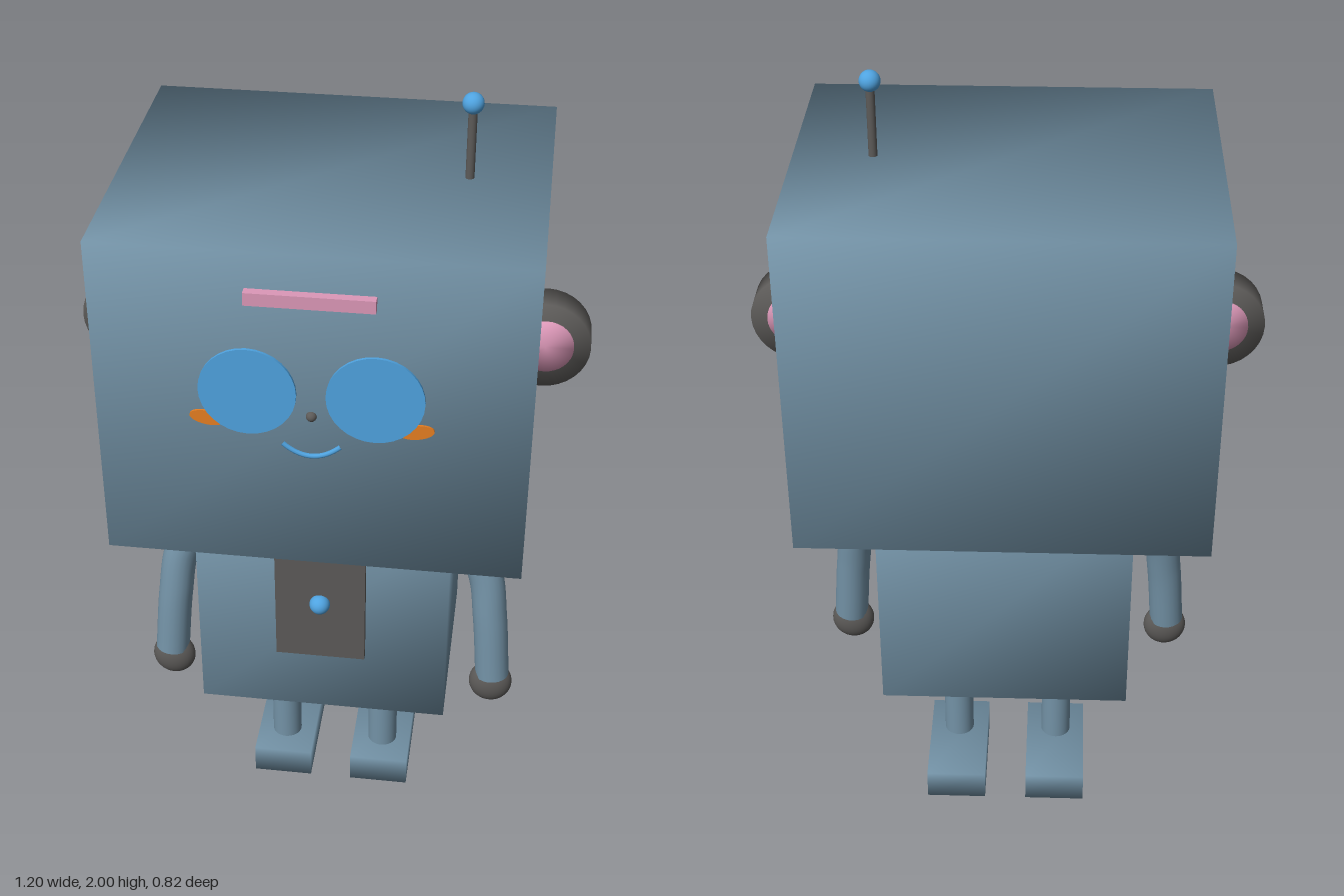
import * as THREE from 'three';
import { mergeVertices } from 'three/addons/utils/BufferGeometryUtils.js';

const mat = (color) => new THREE.MeshStandardMaterial({ color });

// Weld all corners so the shading flows across the edges
function soft(geometry) {
  geometry.deleteAttribute('normal');
  geometry.deleteAttribute('uv');
  const welded = mergeVertices(geometry, 1e-4);
  welded.computeVertexNormals();
  return welded;
}

export function createModel() {
  const robot = new THREE.Group();
  robot.name = 'robot';
  const steel = mat(0x7392a6), grey = mat(0x5c5a58), pink = mat(0xdc98b8);
  const blue = mat(0x4fa3e0), orange = mat(0xe67e22), dark = mat(0x222222);
  const midZ = -0.01;

  function add(name, geometry, material, x, y, z) {
    const mesh = new THREE.Mesh(geometry, material);
    mesh.name = name;
    mesh.position.set(x, y, z);
    robot.add(mesh);
    return mesh;
  }
  const box = (w, h, d) => soft(new THREE.BoxGeometry(w, h, d));
  const rod = (r, h) => new THREE.CylinderGeometry(r, r, h, 32);
  const ball = (r) => new THREE.SphereGeometry(r, 32, 20);
  const disc = (r, depth) => rod(r, depth).rotateX(Math.PI / 2);

  // Head and body
  add('head', box(0.96, 0.8, 0.8), steel, 0, 1.4, midZ);
  add('body', box(0.62, 0.6, 0.495), steel, 0, 0.71, -0.008);

  // Face
  add('faceScreen', new THREE.BoxGeometry(0.77, 0.6, 0.02), dark, 0, 1.4, 0.379);
  add('browBar', new THREE.BoxGeometry(0.28, 0.03, 0.022), pink, 0, 1.7, 0.4);
  add('nose', ball(0.012), grey, 0, 1.405, 0.39);
  const smile = new THREE.QuadraticBezierCurve3(
    new THREE.Vector3(-0.065, 1.33, 0.39),
    new THREE.Vector3(0, 1.27, 0.39),
    new THREE.Vector3(0.065, 1.33, 0.39));
  add('mouth', new THREE.TubeGeometry(smile, 24, 0.006, 8), blue, 0, 0, 0);

  // Chest panel and button
  add('chestPanel', new THREE.BoxGeometry(0.22, 0.335, 0.02), grey, 0, 0.777, 0.266);
  add('chestButton', ball(0.025), blue, 0, 0.78, 0.28);

  // Antenna
  add('antenna', rod(0.01, 0.2), grey, 0.3, 1.88, midZ);
  add('antennaTip', ball(0.024), blue, 0.3, 1.976, midZ);

  for (const s of [1, -1]) {
    const side = s > 0 ? 'left' : 'right';

    // Eye and cheek
    add(side + 'Eye', disc(0.108, 0.012), blue, s * 0.14, 1.46, 0.391);
    const cheek = add(side + 'Cheek', disc(0.04, 0.008), orange, s * 0.23, 1.385, 0.391);
    cheek.scale.y = 0.45;
    cheek.rotation.z = s * 0.15;

    // Ear disc with a smaller inner disc
    add(side + 'Ear', soft(disc(0.11, 0.075)), grey, s * 0.49, 1.4, -0.013);
    add(side + 'InnerEar', soft(disc(0.066, 0.087)), pink, s * 0.495, 1.4, -0.013);

    // Arm
    const path = new THREE.CatmullRomCurve3([
      [0.27, 0.855, 0.02], [0.345, 0.81, 0.03], [0.39, 0.73, 0.043],
      [0.41, 0.6, 0.06], [0.425, 0.42, 0.073],
    ].map(([x, y, z]) => new THREE.Vector3(s * x, y, z)));
    add(side + 'Arm', new THREE.TubeGeometry(path, 40, 0.044, 20), steel, 0, 0, 0);
    add(side + 'Shoulder', ball(0.044), steel, s * 0.27, 0.855, 0.02);
    add(side + 'Hand', ball(1), grey, s * 0.422, 0.394, 0.074).scale.set(0.056, 0.06, 0.038);

    // Leg
    add(side + 'Thigh', rod(0.045, 0.16), steel, s * 0.133, 0.335, -0.006);
    add(side + 'Knee', ball(0.041), grey, s * 0.133, 0.24, -0.006);
    add(side + 'Shin', rod(0.039, 0.15), steel, s * 0.133, 0.145, -0.006);
    add(side + 'Foot', box(0.155, 0.08, 0.29), steel, s * 0.132, 0.04, -0.055);
  }
  return robot;
}
